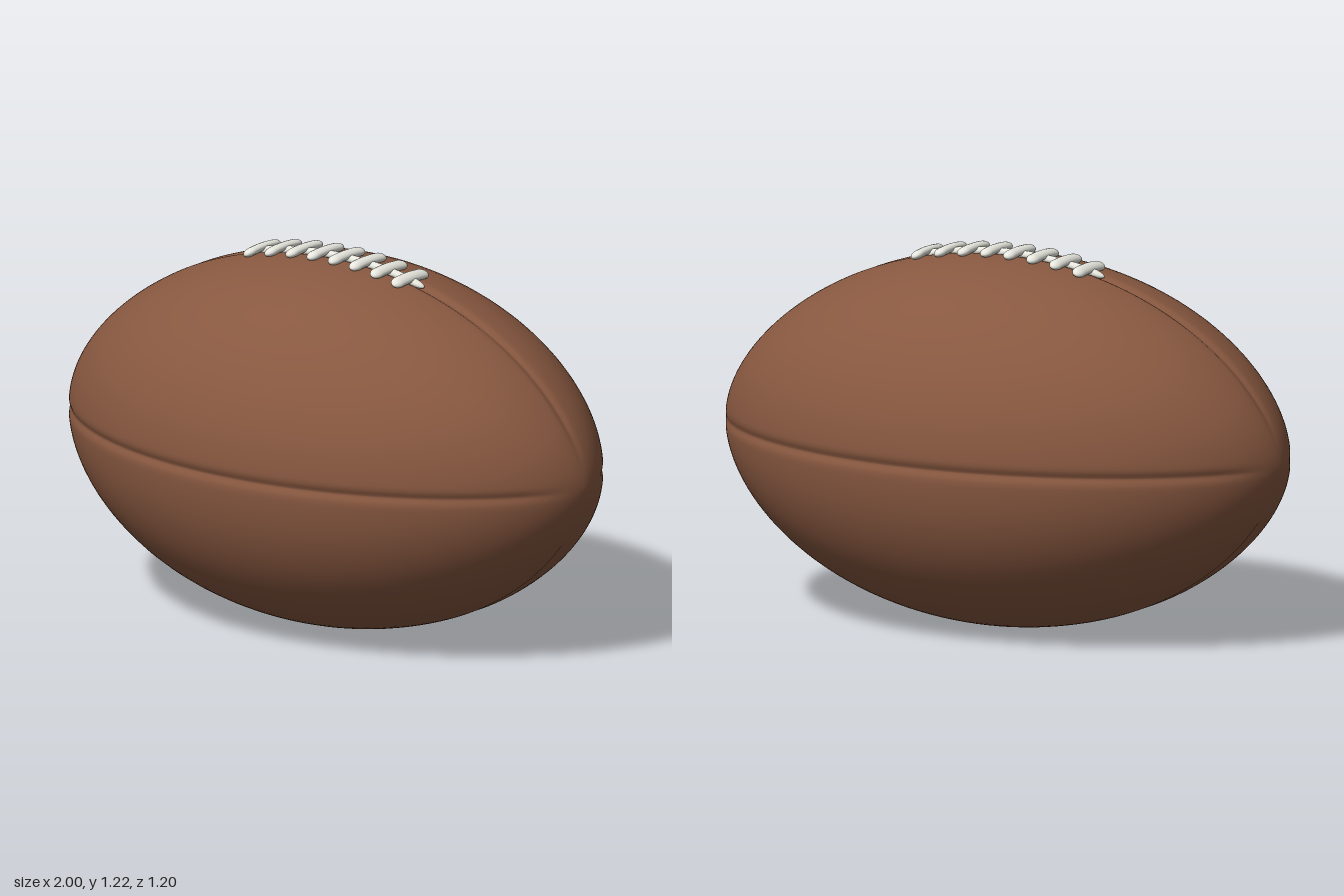
import * as THREE from 'three';
import { mergeVertices } from 'three/addons/utils/BufferGeometryUtils.js';

const CENTER_Y = 0.6;

// Radius of the ball at a position along its long axis
const radiusAt = (x) => 0.6 * Math.pow(Math.max(0, 1 - x * x), 0.595);

// Weld the seams of a reshaped geometry and give it smooth normals
function smooth(geo) {
  geo.deleteAttribute('uv');
  geo.deleteAttribute('normal');
  const merged = mergeVertices(geo, 1e-5);
  merged.computeVertexNormals();
  return merged;
}

// Leather body: four panels meeting in sunken seams at top, front, bottom and back
function bodyGeometry() {
  const geo = new THREE.SphereGeometry(1, 160, 96);
  const { position: pos, uv } = geo.attributes;
  const quarter = Math.PI / 2;
  for (let i = 0; i < pos.count; i++) {
    const x = -Math.cos(uv.getY(i) * Math.PI);
    // crowd the columns towards each seam
    const u = uv.getX(i) * 4;
    const seam = Math.round(u);
    const s = (u - seam) * 2;
    const off = Math.sign(s) * s * s * (quarter / 2);
    const phi = seam * quarter + off;
    const base = radiusAt(x);
    const fade = THREE.MathUtils.smoothstep(base, 0.03, 0.25);
    const d = (base * off) / 0.016;
    const r = base - 0.011 * fade * Math.exp(-d * d);
    pos.setXYZ(i, x, CENTER_Y + r * Math.cos(phi), r * Math.sin(phi));
  }
  return smooth(geo);
}

// Lay a flat strip over the top of the ball; its y is height above the leather
function wrapOnBall(geo) {
  const pos = geo.attributes.position;
  for (let i = 0; i < pos.count; i++) {
    const r = radiusAt(pos.getX(i)), z = pos.getZ(i);
    pos.setY(i, pos.getY(i) + CENTER_Y + Math.sqrt(r * r - z * z));
  }
  return smooth(geo);
}

export function createModel() {
  const leather = new THREE.MeshStandardMaterial({ color: 0x885840 });
  leather.name = 'brown leather';
  const white = new THREE.MeshStandardMaterial({ color: 0xe6e6de });
  white.name = 'white lace';

  const model = new THREE.Group();
  model.name = 'ball';
  const laces = new THREE.Group();
  laces.name = 'laces';
  model.add(laces);

  const add = (name, geo, mat, parent) => {
    const mesh = new THREE.Mesh(geo, mat);
    mesh.name = name;
    parent.add(mesh);
  };

  add('body', bodyGeometry(), leather, model);

  // Long cord lying in the top seam, with tapered ends
  const cord = new THREE.CapsuleGeometry(0.016, 0.25, 8, 16, 40)
    .rotateZ(Math.PI / 2).scale(2.5, 0.8, 1).translate(0, 0.002, 0);
  add('laceCord', wrapOnBall(cord), white, laces);

  // Eight flattened cross laces
  for (let i = 0; i < 8; i++) {
    const lace = new THREE.CapsuleGeometry(0.021, 0.084, 8, 16, 16)
      .rotateX(Math.PI / 2).scale(1, 0.7, 1.4).translate((i - 3.5) * 0.0845, 0.012, 0);
    add('crossLace', wrapOnBall(lace), white, laces);
  }
  return model;
}
